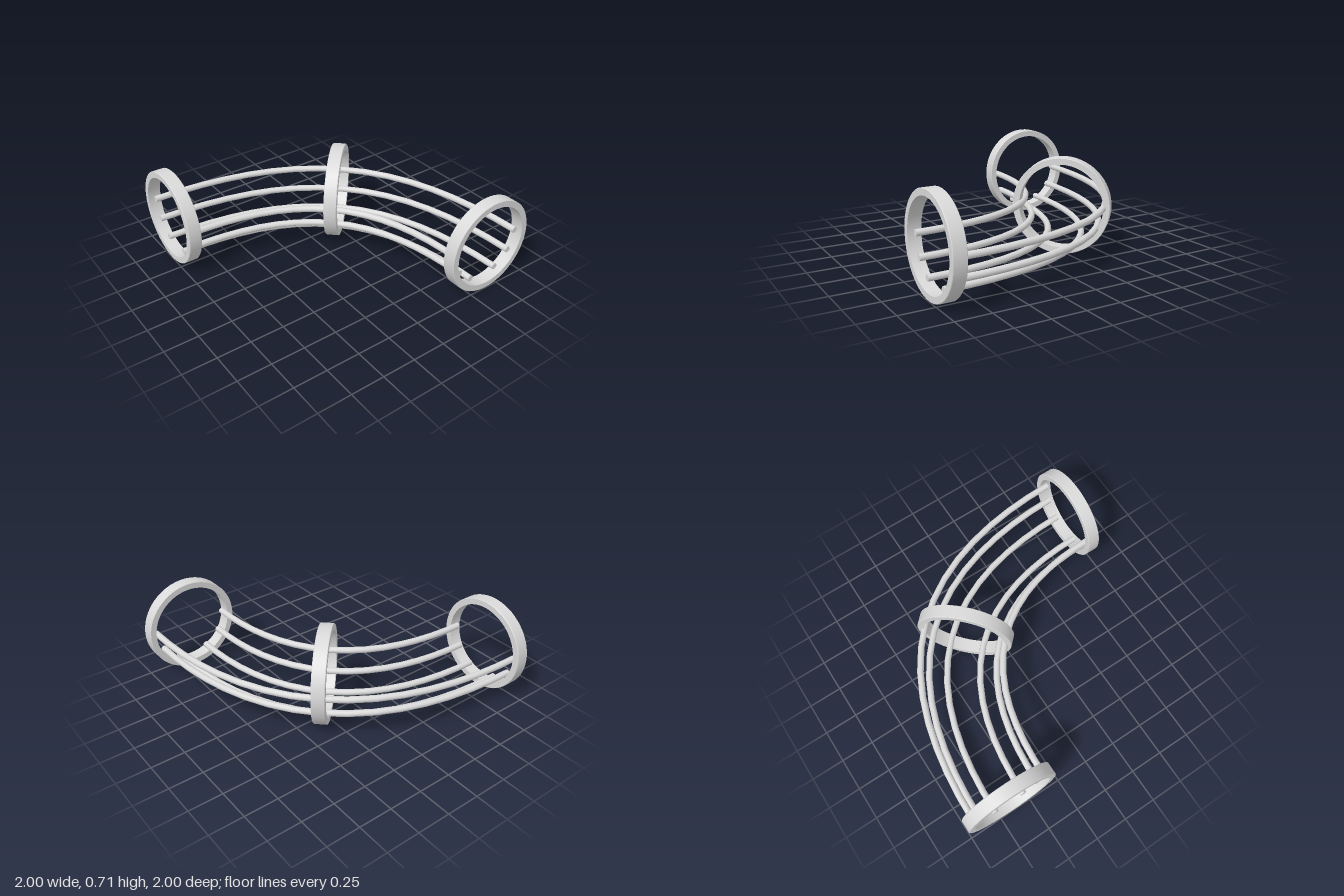
import * as THREE from 'three';
import { toCreasedNormals } from 'three/addons/utils/BufferGeometryUtils.js';

const RING_R = 0.355, RING_INNER = 0.307, RING_W = 0.097;
const AXIS = 0.645;   // distance of the end ring centres from the middle planes
const END = 0.955;    // where the rods stop inside the end rings

// Flat band with small bevels, its axis along z
function ringGeometry() {
  const h = RING_W / 2, b = 0.004, o = RING_R, i = RING_INNER;
  const profile = [
    [o, -h + b], [o, h - b], [o - b, h], [i, h],
    [i, -h], [o - b, -h], [o, -h + b],
  ].map(([x, y]) => new THREE.Vector2(x, y));
  return toCreasedNormals(new THREE.LatheGeometry(profile, 64).rotateX(Math.PI / 2), 0.5);
}

// Bend from the front ring round to the left ring
function rodCurve(offset, y) {
  const d = -AXIS - offset;
  return new THREE.QuadraticBezierCurve3(
    new THREE.Vector3(d, y, END),
    new THREE.Vector3(d, y, d),
    new THREE.Vector3(END, y, d));
}

export function createModel() {
  const model = new THREE.Group();
  model.name = 'curvedCableBasket';
  const steel = new THREE.MeshStandardMaterial({ color: 0xd9d9d9 });
  steel.name = 'light grey steel';

  // Three support rings
  const ring = ringGeometry();
  const edge = 1 - RING_W / 2;
  for (const [name, x, z, turn] of [
    ['frontRing', -AXIS, edge, 0],
    ['middleRing', -0.243, -0.243, Math.PI * 0.75],
    ['leftRing', edge, -AXIS, Math.PI / 2],
  ]) {
    const mesh = new THREE.Mesh(ring, steel);
    mesh.name = name;
    mesh.position.set(x, RING_R, z);
    mesh.rotation.y = turn;
    model.add(mesh);
  }

  // Pairs of bent rods along the lower half of the rings
  const rodR = 0.024;
  const cap = new THREE.CircleGeometry(rodR, 12);
  for (const [dx, y] of [[0.285, 0.358], [0.239, 0.206], [0.119, 0.107]]) {
    for (const side of [-1, 1]) {
      const rod = new THREE.Group();
      rod.name = side > 0 ? 'outerRod' : 'innerRod';
      const curve = rodCurve(side * dx, y);
      const bar = new THREE.Mesh(new THREE.TubeGeometry(curve, 16, rodR, 12), steel);
      bar.name = 'rodBar';
      rod.add(bar);
      for (const u of [0, 1]) {
        const end = new THREE.Mesh(cap, steel);
        end.name = 'rodEnd';
        end.position.copy(curve.getPoint(u));
        end.rotation.y = u * Math.PI / 2;
        rod.add(end);
      }
      model.add(rod);
    }
  }
  return model;
}
